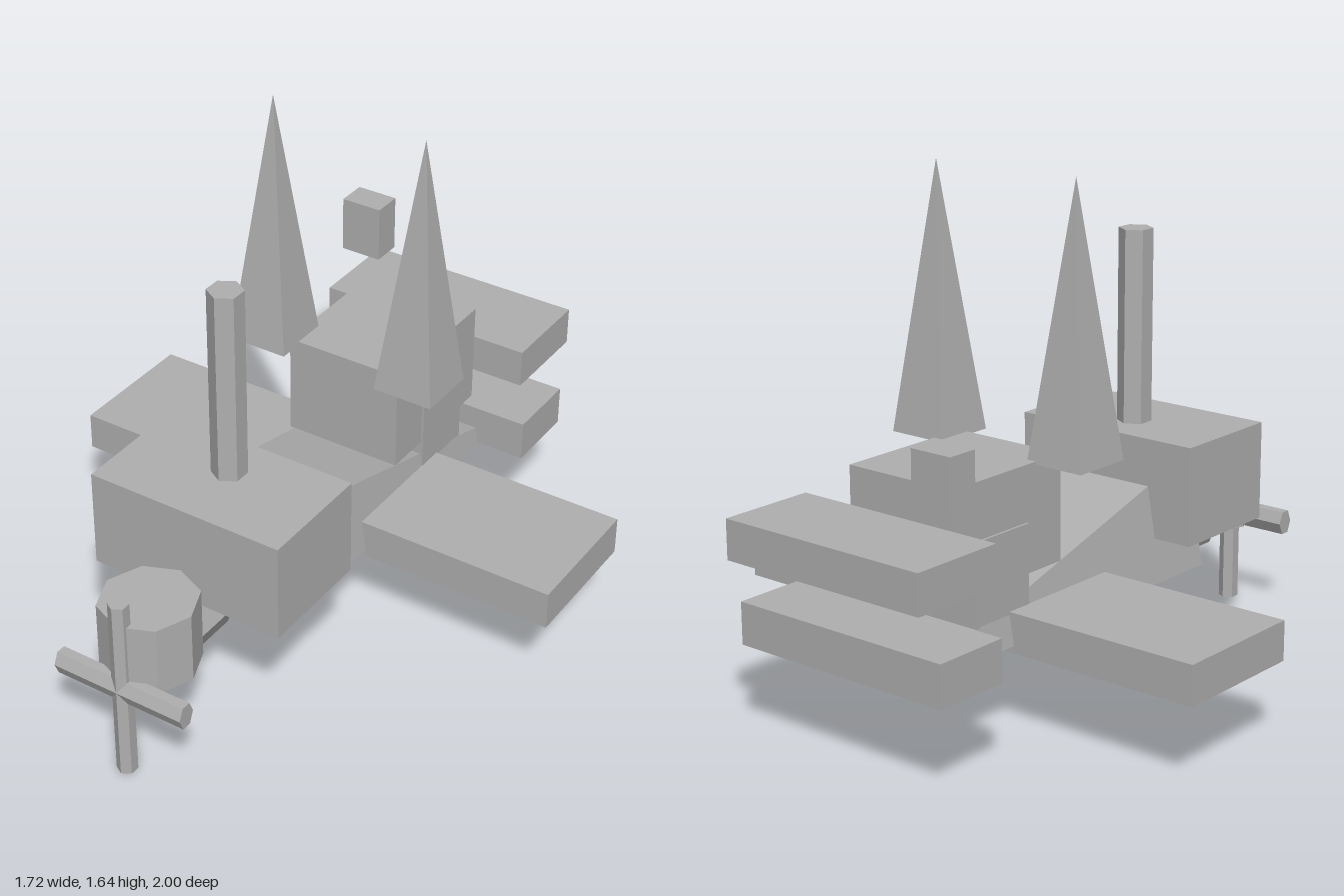
import * as THREE from 'three';
import { ConvexGeometry } from 'three/addons/geometries/ConvexGeometry.js';

export function createModel() {
  const model = new THREE.Group();
  const grey = new THREE.MeshStandardMaterial({ color: 0xb0b0b0, flatShading: true });
  grey.name = 'plain grey';

  function add(name, geometry) {
    const mesh = new THREE.Mesh(geometry, grey);
    mesh.name = name;
    model.add(mesh);
    return mesh;
  }

  // Box given by its extents along each axis
  function box(name, [x0, x1], [y0, y1], [z0, z1]) {
    const g = new THREE.BoxGeometry(x1 - x0, y1 - y0, z1 - z0);
    g.translate((x0 + x1) / 2, (y0 + y1) / 2, (z0 + z1) / 2);
    return add(name, g);
  }

  // Wings and tail planes
  box('mainWing', [-0.86, 0.86], [0.262, 0.387], [-0.437, 0.012]);
  box('lowerTailPlane', [-0.387, 0.387], [0.29, 0.423], [-0.937, -0.683]);
  box('upperTailPlane', [-0.368, 0.368], [0.57, 0.695], [-1, -0.683]);

  // Front and rear body blocks
  box('frontCabin', [-0.33, 0.33], [0.425, 0.743], [0.273, 0.657]);
  box('rearCabin', [-0.198, 0.198], [0.477, 0.81], [-0.67, -0.193]);
  box('rearSupport', [-0.206, 0.206], [0.32, 0.635], [-0.58, -0.348]);
  box('tailBlock', [-0.377, -0.236], [0.8, 0.987], [-0.877, -0.777]);

  // Wedge fuselage: narrow along the top, thinning to an edge at the tail
  const wedge = [];
  for (const s of [-1, 1]) {
    wedge.push(new THREE.Vector3(s * 0.222, 0.285, 0.495));
    wedge.push(new THREE.Vector3(s * 0.16, 0.647, 0.495));
    wedge.push(new THREE.Vector3(s * 0.222, 0.285, -0.92));
  }
  add('wedgeFuselage', new ConvexGeometry(wedge));

  // Six-sided chimney
  add('chimney', new THREE.CylinderGeometry(0.055, 0.055, 0.625, 6))
    .position.set(0, 1.053, 0.422);

  // Pair of square spires
  for (const s of [-1, 1]) {
    const spire = new THREE.ConeGeometry(0.1 * Math.SQRT2, 0.835, 4);
    spire.rotateY(Math.PI / 4);
    add(s > 0 ? 'leftSpire' : 'rightSpire', spire).position.set(s * 0.265, 1.218, -0.208);
  }

  // Engine drum and its shaft
  const drum = new THREE.CylinderGeometry(0.155, 0.155, 0.23, 8);
  drum.scale(0.97, 1, 1);
  add('engineDrum', drum).position.set(0, 0.427, 0.83);

  const shaft = new THREE.CylinderGeometry(0.06, 0.06, 0.316, 6);
  shaft.rotateY(Math.PI / 2).rotateX(Math.PI / 2).scale(1, 1.36, 1);
  add('engineShaft', shaft).position.set(0, 0.31, 0.649);

  // Crossed propeller blades
  add('verticalBlade', new THREE.CylinderGeometry(0.032, 0.032, 0.616, 6))
    .position.set(0, 0.308, 0.968);
  const blade = new THREE.CylinderGeometry(0.032, 0.032, 0.45, 6);
  blade.rotateZ(Math.PI / 2).scale(1, 1.37, 1);
  add('horizontalBlade', blade).position.set(0, 0.308, 0.968);

  return model;
}
